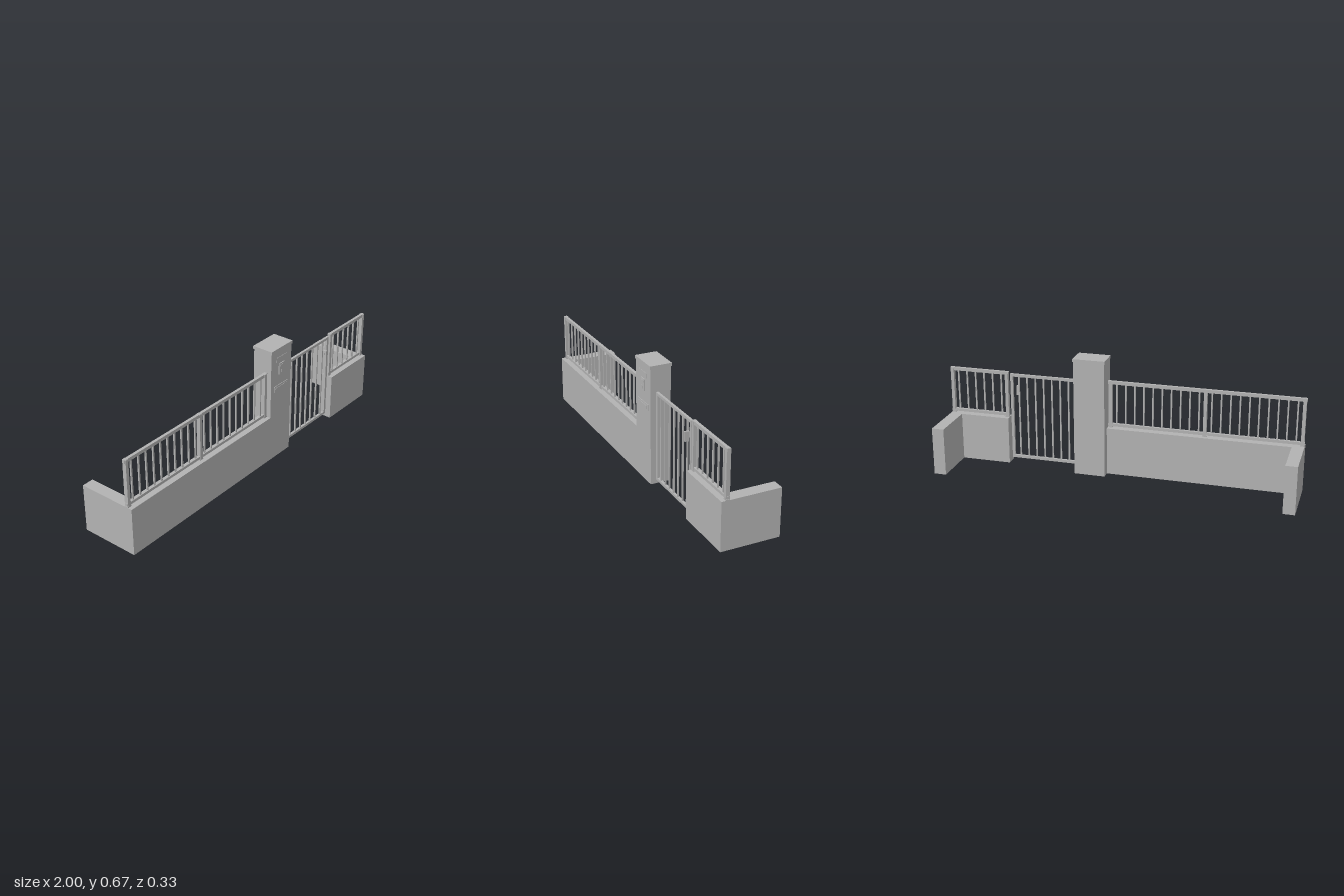
import * as THREE from 'three';

export function createModel() {
  const model = new THREE.Group();
  model.name = 'frontWallWithGate';
  const grey = new THREE.MeshStandardMaterial({ color: 0xb2b2b2 });
  grey.name = 'grey';

  // Box given by its limits on each axis
  function box(name, x0, x1, y0, y1, z0, z1, parent = model) {
    const mesh = new THREE.Mesh(new THREE.BoxGeometry(x1 - x0, y1 - y0, z1 - z0), grey);
    mesh.position.set((x0 + x1) / 2, (y0 + y1) / 2, (z0 + z1) / 2);
    mesh.name = name;
    parent.add(mesh);
    return mesh;
  }

  // L-shaped low wall, seen in plan and raised to its height
  const wallTop = 0.268, front = 0.16, inner = 0.093, back = -0.166;
  function lowWall(name, outer, corner, end) {
    const plan = [[outer, front], [end, front], [end, inner], [corner, inner], [corner, back], [outer, back]];
    const shape = new THREE.Shape(plan.map(([x, z]) => new THREE.Vector2(x, -z)));
    const geometry = new THREE.ExtrudeGeometry(shape, { depth: wallTop, bevelEnabled: false });
    geometry.rotateX(-Math.PI / 2);
    const mesh = new THREE.Mesh(geometry, grey);
    mesh.name = name;
    model.add(mesh);
  }
  lowWall('longWall', -1, -0.935, 0.08);
  lowWall('shortWall', 1, 0.932, 0.652);

  // Pillar with cap
  box('pillar', 0.076, 0.25, 0, 0.652, 0.046, front);
  box('pillarCap', 0.073, 0.253, 0.65, 0.667, 0.041, 0.164);

  // Fittings on the pillar front
  box('namePlate', 0.118, 0.208, 0.585, 0.612, front, 0.162);
  box('intercom', 0.141, 0.185, 0.508, 0.573, front, 0.165);
  box('intercomSpeaker', 0.15, 0.176, 0.554, 0.565, 0.165, 0.167);
  box('intercomButton', 0.156, 0.17, 0.518, 0.533, 0.165, 0.167);
  box('letterSlot', 0.103, 0.223, 0.412, 0.446, front, 0.163);
  box('letterFlap', 0.112, 0.214, 0.42, 0.436, 0.163, 0.165);

  // Evenly spaced upright bars between two x limits
  const mid = 0.126;
  function bars(parent, x0, x1, count, y0, y1) {
    for (let i = 0; i < count; i++) {
      const x = x0 + ((x1 - x0) * (i + 0.5)) / count;
      box('bar', x - 0.004, x + 0.004, y0, y1, mid - 0.004, mid + 0.004, parent);
    }
  }

  // Railing: posts on foot plates, two rails and bars
  function railing(name, x0, x1, posts, count) {
    const group = new THREE.Group();
    group.name = name;
    model.add(group);
    box('topRail', x0, x1, 0.517, 0.535, mid - 0.008, mid + 0.008, group);
    box('bottomRail', x0, x1, 0.275, 0.29, mid - 0.008, mid + 0.008, group);
    posts.forEach((x, i) => {
      box('post', x - 0.009, x + 0.009, wallTop, 0.534, mid - 0.011, mid + 0.011, group);
      box('foot', x - 0.012, x + 0.012, wallTop, 0.273, mid - 0.011, mid + 0.011, group);
      if (i) bars(group, posts[i - 1] + 0.009, x - 0.009, count, 0.285, 0.52);
    });
  }
  railing('longRailing', -1, 0.076, [-0.988, -0.464, 0.062], 10);
  railing('shortRailing', 0.653, 1, [0.664, 0.988], 6);

  // Gate: frame, bars and handle
  const gate = new THREE.Group();
  gate.name = 'gate';
  model.add(gate);
  const z0 = mid - 0.007, z1 = mid + 0.007;
  box('hingeStile', 0.257, 0.272, 0.026, 0.525, z0, z1, gate);
  box('latchStile', 0.627, 0.642, 0.026, 0.525, z0, z1, gate);
  box('gateTopRail', 0.272, 0.627, 0.51, 0.525, z0, z1, gate);
  box('gateBottomRail', 0.272, 0.627, 0.026, 0.041, z0, z1, gate);
  bars(gate, 0.28, 0.617, 7, 0.04, 0.511);
  box('handlePlate', 0.598, 0.61, 0.401, 0.455, mid, 0.138, gate);
  box('handle', 0.599, 0.608, 0.401, 0.455, 0.138, 0.15, gate);

  return model;
}
